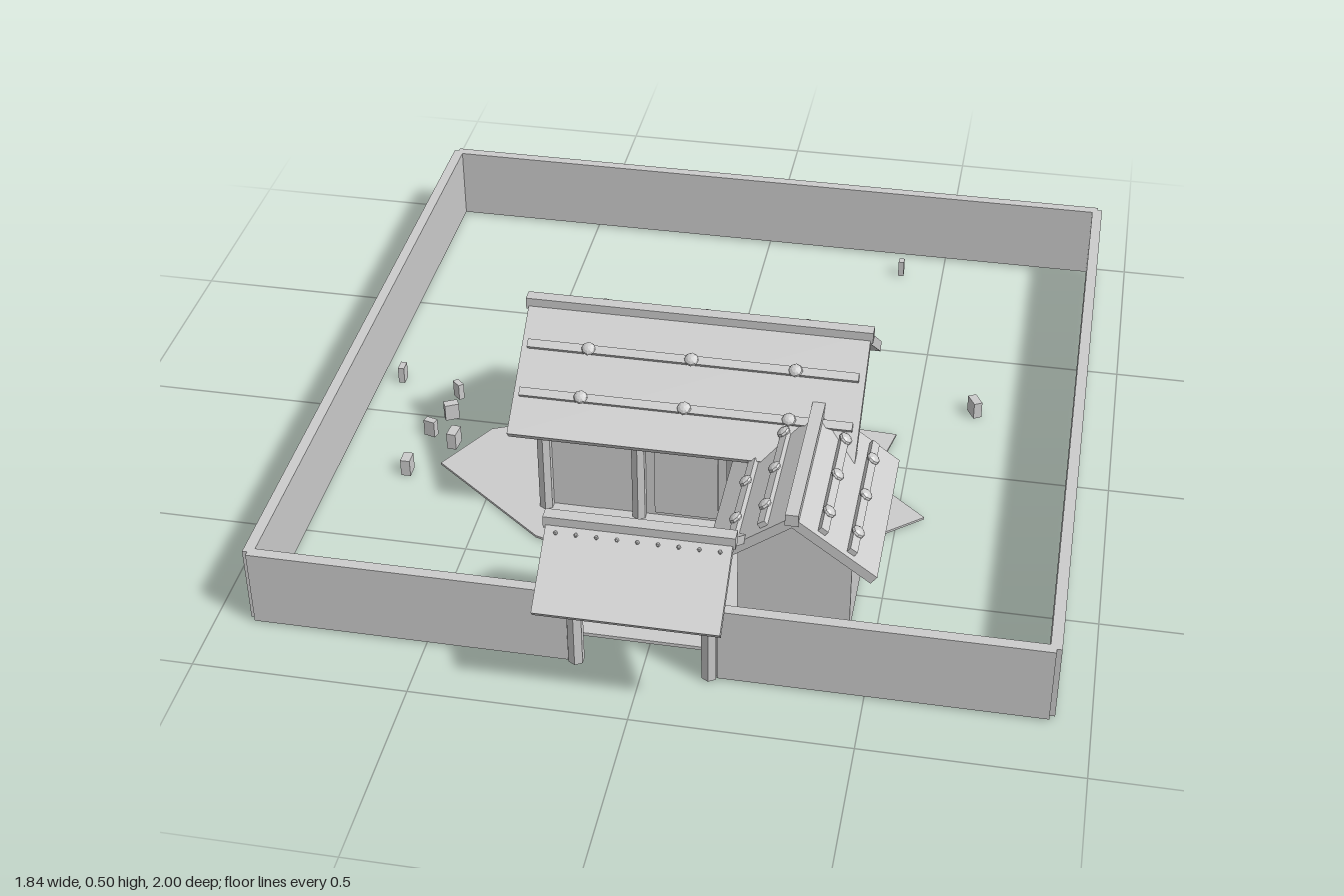
import * as THREE from 'three';

export function createModel() {
  const model = new THREE.Group();
  model.name = 'walledHouse';
  const clay = new THREE.MeshStandardMaterial({ color: 0xcccccc, flatShading: true });
  clay.name = 'clay grey';

  function add(parent, name, geometry, x = 0, y = 0, z = 0) {
    const mesh = new THREE.Mesh(geometry, clay);
    mesh.name = name;
    mesh.position.set(x, y, z);
    parent.add(mesh);
    return mesh;
  }
  const box = (w, h, d) => new THREE.BoxGeometry(w, h, d);

  // Extrudes a profile along z, centred on z = 0
  function prism(points, length) {
    const shape = new THREE.Shape(points.map(([x, y]) => new THREE.Vector2(x, y)));
    const geometry = new THREE.ExtrudeGeometry(shape, { depth: length, bevelEnabled: false });
    return geometry.translate(0, 0, -length / 2);
  }

  // Pitched roof running along z, with ridge cap, battens and studs
  function makeRoof({ name, length, span, ridge, slope, thick, battens = [], studs = [] }) {
    const roof = new THREE.Group();
    roof.name = name;
    const a = Math.atan(slope);
    const eave = ridge - slope * span;
    const inX = span - thick * Math.sin(a);
    const inY = eave - thick * Math.cos(a);
    add(roof, 'roofSlab', prism([
      [0, ridge], [-span, eave], [-inX, inY],
      [0, ridge - thick / Math.cos(a)], [inX, inY], [span, eave],
    ], length));
    add(roof, 'ridgeCap', box(0.03, 0.03, length + 0.012), 0, ridge - 0.005, 0);
    for (const side of [-1, 1]) {
      for (const d of battens) {
        const strip = new THREE.Group();
        strip.name = 'battenRow';
        strip.position.set(side * d, ridge - slope * d, 0);
        strip.rotation.z = -side * a;
        add(strip, 'batten', box(0.02, 0.014, length - 0.03), 0, 0.006, 0);
        for (const z of studs) {
          add(strip, 'stud', new THREE.SphereGeometry(0.017, 8, 6), 0, 0.014, z).scale.y = 0.6;
        }
        roof.add(strip);
      }
    }
    return roof;
  }

  // Gabled body running along z
  const gable = (w, wallTop, apex, length) => prism(
    [[-w, 0.004], [w, 0.004], [w, wallTop], [0, apex], [-w, wallTop]], length);

  // Ground patch and path
  const outline = [
    [0, -0.21], [-0.18, -0.14], [-0.41, -0.03], [-0.555, 0.035], [-0.645, 0.195],
    [-0.345, 0.43], [-0.21, 0.475], [0.2, 0.5], [0.44, 0.3], [0.565, 0.195],
    [0.42, 0.07], [0.46, -0.125], [0.18, -0.14],
  ];
  const patch = add(model, 'groundPatch',
    prism(outline.map(([x, z]) => [x, -z]), 0.006), 0, 0.005, 0);
  patch.rotation.x = -Math.PI / 2;
  add(model, 'path', box(0.42, 0.009, 0.6), 0, 0.0045, 0.45);

  // Courtyard wall with a gap at the gate
  const wall = new THREE.Group();
  wall.name = 'courtyardWall';
  model.add(wall);
  for (const s of [-1, 1]) {
    add(wall, 'sideWall', box(0.026, 0.195, 1.816), s * 0.907, 0.1025, -0.08);
    add(wall, 'frontWall', box(0.738, 0.195, 0.026), s * 0.539, 0.1025, 0.827);
  }
  add(wall, 'backWall', box(1.816, 0.195, 0.026), 0, 0.1025, -0.987);

  // Main house, ridge along x
  const house = new THREE.Group();
  house.name = 'mainHouse';
  house.position.z = 0.135;
  model.add(house);
  add(house, 'houseBody', gable(0.165, 0.32, 0.45, 0.69)).rotation.y = Math.PI / 2;
  const mainRoof = makeRoof({
    name: 'mainRoof', length: 0.82, span: 0.267, ridge: 0.49, slope: 0.77, thick: 0.025,
    battens: [0.09, 0.185], studs: [-0.247, 0, 0.247],
  });
  mainRoof.rotation.y = Math.PI / 2;
  house.add(mainRoof);
  for (const x of [-0.345, -0.115, 0.115, 0.345]) {
    for (const z of [-0.175, 0.175]) {
      add(house, 'housePost', new THREE.CylinderGeometry(0.018, 0.018, 0.3, 6), x, 0.154, z);
    }
  }
  add(house, 'door', box(0.155, 0.2, 0.012), 0, 0.122, 0.168);

  // Annex, ridge along z
  const annex = new THREE.Group();
  annex.name = 'annex';
  annex.position.set(0.31, 0, 0.48);
  model.add(annex);
  add(annex, 'annexBody', gable(0.13, 0.245, 0.335, 0.33), 0, 0, -0.01);
  annex.add(makeRoof({
    name: 'annexRoof', length: 0.43, span: 0.193, ridge: 0.37, slope: 0.74, thick: 0.024,
    battens: [0.064, 0.13], studs: [-0.135, 0, 0.135],
  }));

  // Gate with its own roof
  const gate = new THREE.Group();
  gate.name = 'gate';
  gate.position.z = 0.832;
  model.add(gate);
  for (const s of [-1, 1]) {
    add(gate, 'gatePost', new THREE.CylinderGeometry(0.019, 0.019, 0.296, 6), s * 0.152, 0.152, 0.003);
  }
  const gateRoof = makeRoof({
    name: 'gateRoof', length: 0.41, span: 0.171, ridge: 0.408, slope: 0.75, thick: 0.02,
  });
  gateRoof.rotation.y = Math.PI / 2;
  gate.add(gateRoof);
  for (let i = 0; i < 9; i++) {
    for (const s of [-1, 1]) {
      add(gate, 'gateStud', new THREE.SphereGeometry(0.005, 6, 4), -0.18 + i * 0.045, 0.388, s * 0.028);
    }
  }

  // Scattered stones: x, z, width, depth, turn
  const stones = [
    [0.386, -0.878, 0.015, 0.02, 0], [0.646, -0.26, 0.022, 0.04, 0.5],
    [-0.841, -0.143, 0.016, 0.03, 0], [-0.677, -0.095, 0.015, 0.028, 0.8],
    [-0.672, -0.005, 0.022, 0.036, -1.1], [-0.704, 0.074, 0.018, 0.03, 1.3],
    [-0.635, 0.106, 0.024, 0.04, -0.1], [-0.455, -0.085, 0.024, 0.04, -0.5],
    [-0.72, 0.233, 0.024, 0.036, 0],
  ];
  for (const [x, z, w, d, turn] of stones) {
    add(model, 'stone', box(w, 0.045, d), x, 0.0225, z).rotation.y = turn;
  }
  return model;
}
